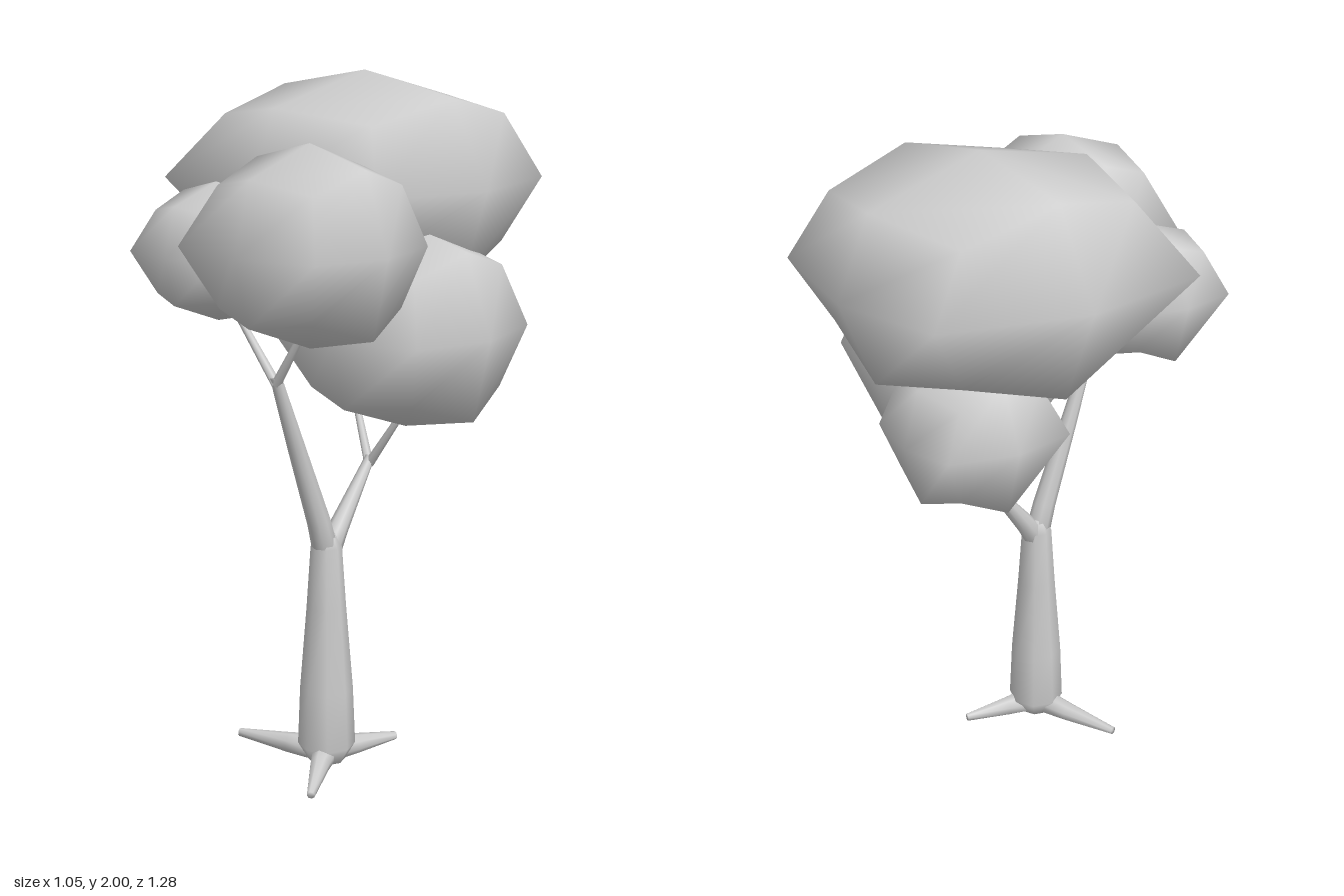
import * as THREE from 'three';
import { mergeVertices } from 'three/addons/utils/BufferGeometryUtils.js';

const material = new THREE.MeshStandardMaterial({ color: 0xcccccc });

// Weld all shared corners so the whole surface shades smoothly
function smooth(geometry) {
  geometry.deleteAttribute('uv');
  geometry.deleteAttribute('normal');
  const welded = mergeVertices(geometry, 1e-5);
  welded.computeVertexNormals();
  return welded;
}

function addMesh(parent, name, geometry) {
  const mesh = new THREE.Mesh(geometry, material);
  mesh.name = name;
  parent.add(mesh);
  return mesh;
}

// Tapered limb through stations [x, y, z, radius]
function limb(stations, sides = 8) {
  const n = stations.length - 1;
  const points = stations.map((s) => new THREE.Vector3(s[0], s[1], s[2]));
  const up = new THREE.Vector3(0, 1, 0);
  const turns = points.map((p, i) => {
    const along = points[Math.min(i + 1, n)].clone().sub(points[Math.max(i - 1, 0)]).normalize();
    return new THREE.Quaternion().setFromUnitVectors(up, along);
  });
  const geometry = new THREE.CylinderGeometry(1, 1, n, sides, n);
  const pos = geometry.attributes.position;
  const v = new THREE.Vector3();
  for (let i = 0; i < pos.count; i++) {
    v.fromBufferAttribute(pos, i);
    const k = Math.round(v.y + n / 2);
    v.y = 0;
    v.multiplyScalar(stations[k][3]).applyQuaternion(turns[k]).add(points[k]);
    pos.setXYZ(i, v.x, v.y, v.z);
  }
  return smooth(geometry);
}

// Positions of the cube's edge midpoints once puffed out, keyed by side signs (x,y,z)
const edgeMidpoints = {
  '1,0,-1': [0.77, 0, -0.83], '-1,0,-1': [-0.67, 0, -0.84],
  '-1,0,1': [-0.95, 0, 0.84], '1,0,1': [0.79, 0, 0.76],
  '-1,1,0': [-0.71, 0.82, 0], '1,1,0': [0.72, 0.8, 0],
  '1,-1,0': [0.82, -0.81, 0], '-1,-1,0': [-0.77, -0.88, 0],
  '0,1,1': [0, 0.72, 0.8], '0,1,-1': [0, 0.71, -0.78],
  '0,-1,1': [0, -0.68, 0.84], '0,-1,-1': [0, -0.82, -0.77],
};

// Lumpy leaf clump: a cube split in two each way, puffed towards a ball
function leafClump() {
  const geometry = new THREE.BoxGeometry(2, 2, 2, 2, 2, 2);
  const pos = geometry.attributes.position;
  for (let i = 0; i < pos.count; i++) {
    const s = [pos.getX(i), pos.getY(i), pos.getZ(i)].map((c) => Math.round(c) + 0);
    const used = s.filter((c) => c !== 0).length;
    if (used === 2) pos.setXYZ(i, ...edgeMidpoints[s.join(',')]);
    if (used === 3) pos.setXYZ(i, s[0] * 0.62, s[1] * 0.6, s[2] * 0.62);
  }
  return smooth(geometry);
}

export function createModel() {
  const tree = new THREE.Group();
  tree.name = 'tree';

  // Trunk
  const wood = new THREE.Group();
  wood.name = 'wood';
  tree.add(wood);
  addMesh(wood, 'trunk', limb([
    [0.085, 0.025, 0.15, 0.055], [0.085, 0.075, 0.15, 0.084], [0.085, 0.25, 0.15, 0.077],
    [0.085, 0.5, 0.15, 0.057], [0.085, 0.68, 0.15, 0.045], [0.085, 0.72, 0.15, 0.025],
  ]));

  // Three roots spreading from the foot
  const rootEnds = [[0.21, 0.014, 0.345], [-0.2, 0.045, 0.23], [0.15, 0.042, -0.08]];
  for (const [x, y, z] of rootEnds) {
    const mid = (a, b) => a + (b - a) * 0.42;
    addMesh(wood, 'root', limb([
      [0.085, 0.055, 0.15, 0.042],
      [mid(0.085, x), 0.048, mid(0.15, z), 0.03],
      [x, y, z, 0.012],
    ]));
  }

  // Two main branches
  addMesh(wood, 'frontBranch', limb([
    [0.085, 0.64, 0.145, 0.038], [0.085, 0.76, 0.18, 0.034],
    [0.085, 1.0, 0.27, 0.025], [0.085, 1.21, 0.347, 0.016],
  ]));
  addMesh(wood, 'backBranch', limb([
    [0.085, 0.64, 0.155, 0.038], [0.083, 0.72, 0.1, 0.03], [0.075, 0.905, -0.045, 0.014],
  ]));

  // Twigs reaching into the leaves
  const twigs = [
    [[0.085, 1.19, 0.345], [-0.1, 1.39, 0.335]],
    [[0.085, 1.19, 0.345], [0.2, 1.36, 0.35]],
    [[0.075, 0.885, -0.04], [-0.08, 1.08, -0.135]],
    [[0.075, 0.885, -0.04], [0.2, 1.06, -0.045]],
  ];
  for (const [a, b] of twigs) addMesh(wood, 'twig', limb([[...a, 0.014], [...b, 0.009]], 6));

  // Leaf clumps: centre, then half sizes
  const clumps = [
    ['crownLeaves', [-0.08, 1.69, -0.185], [0.46, 0.31, 0.46]],
    ['frontLeftLeaves', [0.235, 1.585, 0.365], [0.275, 0.27, 0.27]],
    ['frontRightLeaves', [-0.185, 1.52, 0.305], [0.19, 0.195, 0.195]],
    ['backLeftLeaves', [0.205, 1.31, -0.05], [0.305, 0.29, 0.303]],
    ['backRightLeaves', [-0.11, 1.235, -0.255], [0.22, 0.225, 0.22]],
  ];
  const leaves = new THREE.Group();
  leaves.name = 'leaves';
  tree.add(leaves);
  const clumpGeometry = leafClump();
  for (const [name, centre, size] of clumps) {
    const mesh = addMesh(leaves, name, clumpGeometry);
    mesh.position.set(...centre);
    mesh.scale.set(...size);
  }
  return tree;
}
